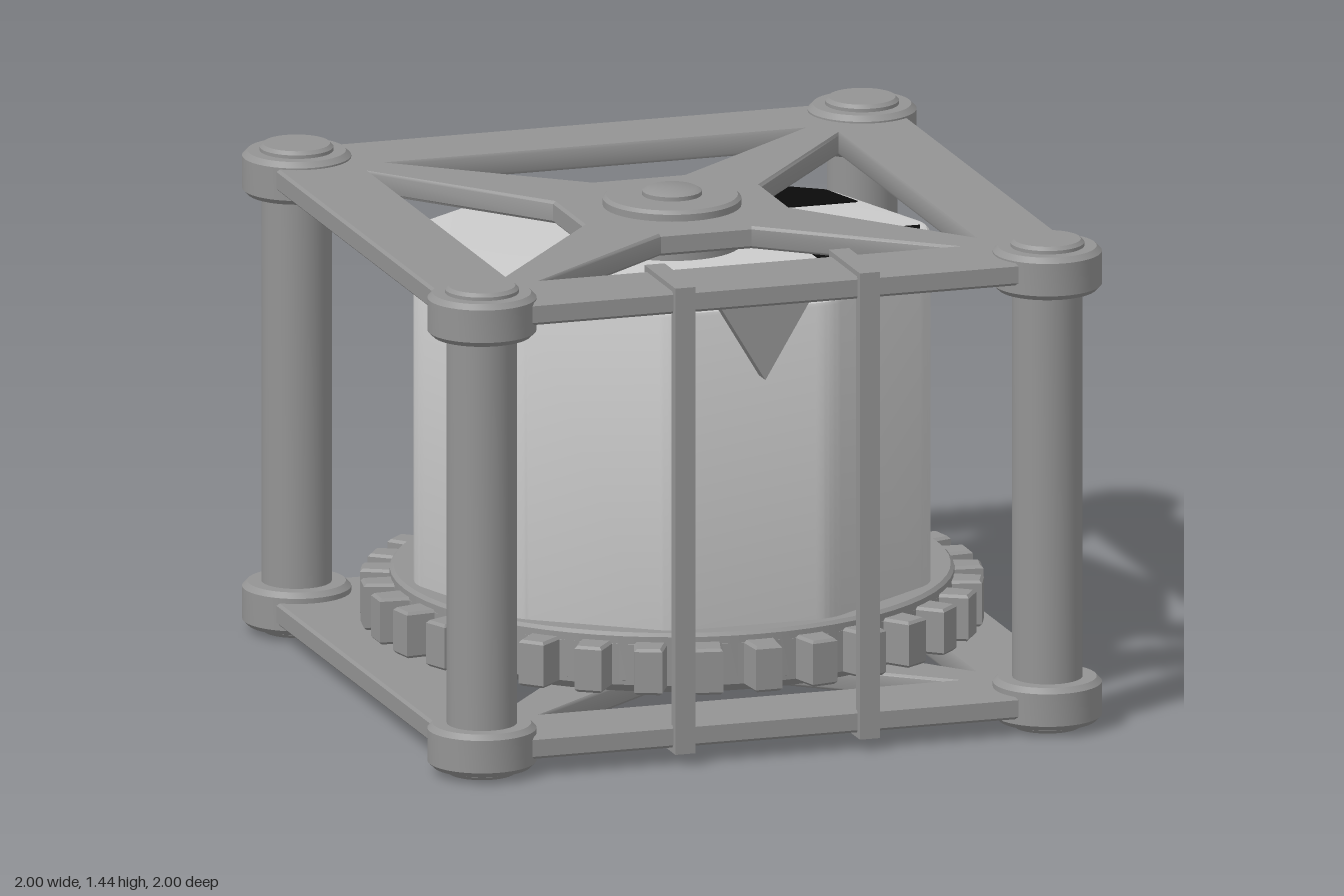
import * as THREE from 'three';
import { toCreasedNormals } from 'three/addons/utils/BufferGeometryUtils.js';

const frameGrey = new THREE.MeshStandardMaterial({ color: 0x949494 });
const drumGrey = new THREE.MeshStandardMaterial({ color: 0xcccccc });
const patchBlack = new THREE.MeshStandardMaterial({ color: 0x0a0a0a });

const polygon = (pts) => pts.map(([x, z]) => new THREE.Vector2(x, -z));

export function createModel() {
  const model = new THREE.Group();

  function add(name, geometry, material = frameGrey, parent = model) {
    const mesh = new THREE.Mesh(geometry, material);
    mesh.name = name;
    parent.add(mesh);
    return mesh;
  }

  // Horizontal slab from a plan shape, with chamfered rims
  function slab(shape, y0, y1, bevel = 0, segments = 1) {
    const g = new THREE.ExtrudeGeometry(shape, {
      depth: y1 - y0 - 2 * bevel, bevelEnabled: bevel > 0, bevelThickness: bevel,
      bevelSize: bevel, bevelOffset: -bevel, bevelSegments: segments, curveSegments: 6,
    });
    g.rotateX(-Math.PI / 2).translate(0, y0 + bevel, 0);
    return toCreasedNormals(g, 0.45);
  }

  function turned(profile, segments = 40) {
    const pts = profile.map(([r, y]) => new THREE.Vector2(r, y));
    return toCreasedNormals(new THREE.LatheGeometry(pts, segments), 0.5);
  }

  function circle(x, y, r) {
    return new THREE.Path().absarc(x, y, r, 0, Math.PI * 2, false);
  }

  // Square plates whose four openings leave a tapered cross
  function platePlan(withBores) {
    const o = 0.942;
    const shape = new THREE.Shape(polygon([[-o, o], [o, o], [o, -o], [-o, -o]]));
    for (let i = 0; i < 4; i++) {
      const pts = polygon([[-0.62, -0.7], [0.62, -0.7], [0.135, -0.31], [-0.135, -0.31]]);
      pts.forEach((p) => p.rotateAround(new THREE.Vector2(), i * Math.PI / 2));
      shape.holes.push(new THREE.Path(pts));
      if (withBores) {
        const a = Math.PI / 4 + i * Math.PI / 2;
        shape.holes.push(circle(0.29 * Math.cos(a), 0.29 * Math.sin(a), 0.032));
      }
    }
    if (withBores) shape.holes.push(circle(0, 0, 0.17));
    return shape;
  }
  add('topPlate', slab(platePlan(false), 1.325, 1.39, 0.008));
  add('bottomPlate', slab(platePlan(true), 0.055, 0.12, 0.008));

  // Corner posts with collars and end buttons
  const postGeometry = turned([
    [0, 0.005], [0.095, 0.005], [0.105, 0.015], [0.105, 0.025], [0.14, 0.025], [0.155, 0.04],
    [0.155, 0.135], [0.14, 0.15], [0.1, 0.15], [0.1, 1.285], [0.14, 1.285], [0.155, 1.3],
    [0.155, 1.395], [0.14, 1.41], [0.105, 1.41], [0.105, 1.42], [0.095, 1.43], [0, 1.43],
  ]);
  for (const x of [-0.843, 0.843]) {
    for (const z of [-0.843, 0.843]) {
      add('cornerPost', postGeometry).position.set(x, 0, z);
    }
  }

  // Hubs: solid with a nub above, hollow below
  add('topHub', turned([
    [0, 1.26], [0.197, 1.26], [0.197, 1.41], [0.187, 1.42], [0.085, 1.42],
    [0.085, 1.432], [0.07, 1.44], [0, 1.44],
  ]));
  add('bottomHub', turned([
    [0, 0.24], [0.155, 0.24], [0.155, 0.02], [0.188, 0.02], [0.198, 0.03], [0.198, 0.28], [0, 0.28],
  ]));

  // Ten-sided drum with rounded corners
  const drum = new THREE.Shape();
  const round = 0.15;
  const half = Math.PI / 10;
  const reach = 0.77 - round / Math.cos(half);
  for (let i = 0; i < 10; i++) {
    const a = i * Math.PI / 5;
    drum.absarc(reach * Math.cos(a), reach * Math.sin(a), round, a - half, a + half, false);
  }
  drum.closePath();
  add('drum', slab(drum, 0.27, 1.275, 0.02, 3), drumGrey);

  // Black patches on both ends of the drum
  const patches = [
    [[0.34, 0.03], [0.34, 0.62], [0.6, 0.43], [0.73, 0.03]],
    [[0.34, -0.28], [0.645, -0.28], [0.6, -0.43], [0.34, -0.62]],
  ];
  for (const pts of patches) {
    const shape = new THREE.Shape(polygon(pts));
    add('drumTopPatch', slab(shape, 1.272, 1.279), patchBlack);
    add('drumUnderPatch', slab(shape, 0.265, 0.272), patchBlack);
  }

  // Toothed ring and the flange on which the drum sits
  const teeth = 32;
  const gearPoints = [];
  for (let i = 0; i < teeth; i++) {
    for (const [r, t] of [[0.8, -0.3], [0.885, -0.23], [0.885, 0.23], [0.8, 0.3]]) {
      const a = (i + t) * 2 * Math.PI / teeth;
      gearPoints.push(new THREE.Vector2(r * Math.cos(a), r * Math.sin(a)));
    }
  }
  const gear = new THREE.Shape(gearPoints);
  const bore = new THREE.Path();
  bore.setFromPoints(new THREE.Path().absarc(0, 0, 0.56, 0, Math.PI * 2, false).getPoints(24));
  gear.holes.push(bore);
  add('gearRing', slab(gear, 0.18, 0.315, 0.008));
  add('gearFlange', turned([
    [0.56, 0.34], [0.56, 0.16], [0.76, 0.16], [0.79, 0.19], [0.8, 0.2], [0.8, 0.33], [0.79, 0.34], [0.56, 0.34],
  ], 64));

  // Two straps clipped round the front edges of both plates
  for (const x of [-0.275, 0.275]) {
    const strap = new THREE.Group();
    strap.name = 'frontStrap';
    model.add(strap);
    const bar = (name, y0, y1, z0, z1) =>
      add(name, new THREE.BoxGeometry(0.06, y1 - y0, z1 - z0), frameGrey, strap)
        .position.set(x, (y0 + y1) / 2, (z0 + z1) / 2);
    bar('strapUpright', 0.04, 1.405, 0.925, 0.962);
    bar('strapTop', 1.375, 1.405, 0.68, 0.93);
    bar('strapBottom', 0.04, 0.07, 0.68, 0.93);
    bar('strapTopLip', 1.35, 1.38, 0.68, 0.705);
    bar('strapBottomLip', 0.065, 0.095, 0.68, 0.705);
  }

  // Triangular pointer hanging below the front beam
  const triangle = new THREE.Shape([
    new THREE.Vector2(-0.15, 1.335), new THREE.Vector2(0, 1.085), new THREE.Vector2(0.15, 1.335),
  ]);
  add('pointer', new THREE.ExtrudeGeometry(triangle, { depth: 0.06, bevelEnabled: false }))
    .position.z = 0.79;

  return model;
}
